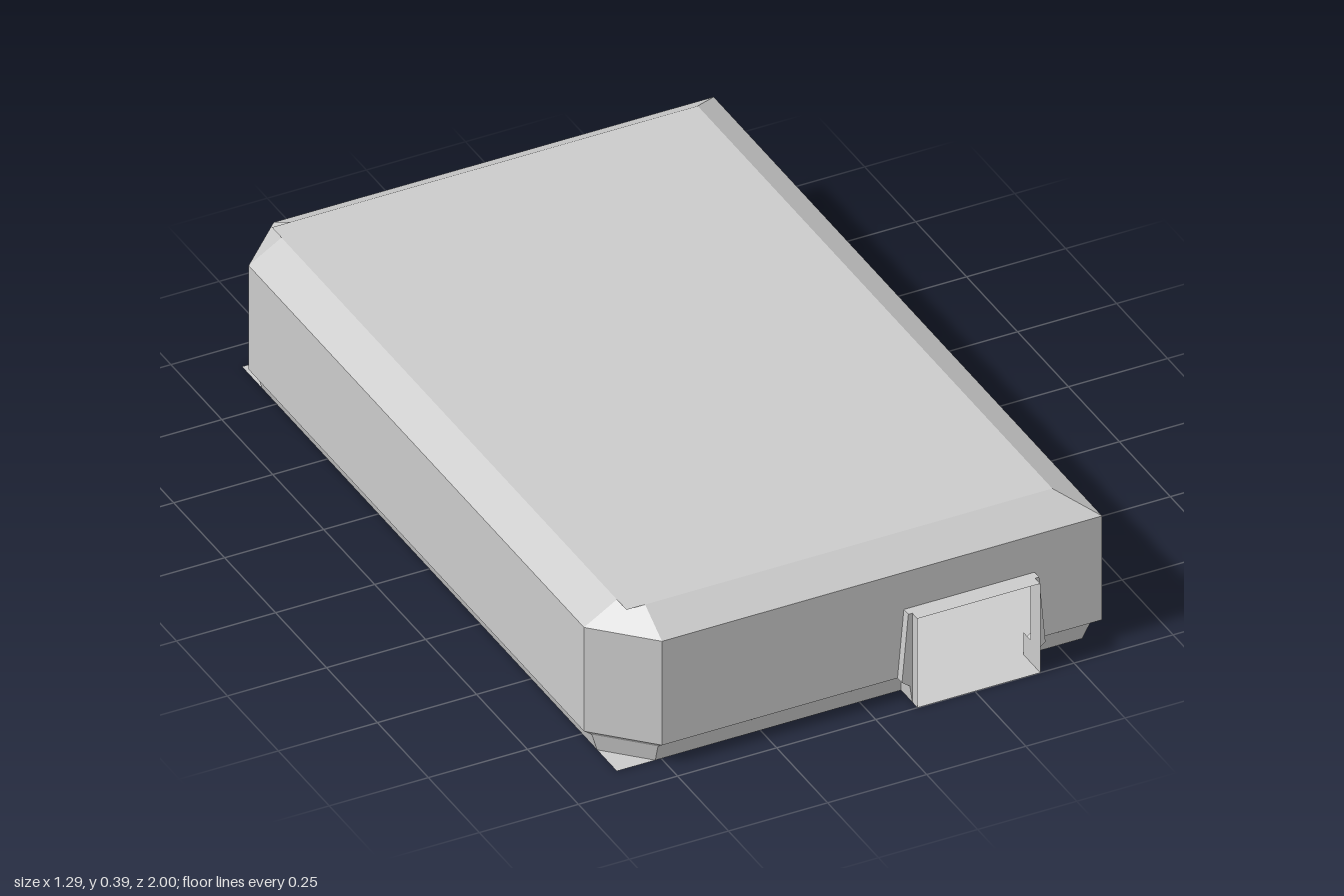
import * as THREE from 'three';

const material = new THREE.MeshStandardMaterial({ color: 0xcccccc, flatShading: true, side: THREE.DoubleSide });

// Mesh from a list of quads, corners counter-clockwise seen from outside
function quadMesh(name, quads) {
  const pos = [];
  for (const [a, b, c, d] of quads) pos.push(...a, ...b, ...c, ...a, ...c, ...d);
  const geo = new THREE.BufferGeometry();
  geo.setAttribute('position', new THREE.Float32BufferAttribute(pos, 3));
  geo.computeVertexNormals();
  const mesh = new THREE.Mesh(geo, material);
  mesh.name = name;
  return mesh;
}

// Footprint inset by i at height y; the two -x corners are cut off
function outline(y, i) {
  const l = -0.645 + i, r = 0.595 - i, z = 0.953 - i, c = 0.13 - i;
  return [[l + c, y, z], [r, y, z], [r, y, -z], [l + c, y, -z], [l, y, -z + c], [l, y, z - c]];
}

const HALF = 0.155, DOOR_TOP = 0.24;
// Doorways by outline edge: axis along the wall, centre on that axis
const doors = {
  0: { axis: 0, centre: 0.26, dir: 1, at: [0.26, 0, 0.953], turn: 0 },
  1: { axis: 2, centre: 0.415, dir: -1, at: [0.595, 0, 0.415], turn: Math.PI / 2 },
  2: { axis: 0, centre: 0.26, dir: -1, at: [0.26, 0, -0.953], turn: Math.PI },
};

// Band between two outlines, leaving the doorways open if asked
function band(name, top, bottom, cut) {
  const quads = [];
  const n = top.length;
  for (let k = 0; k < n; k++) {
    const [a, b, c, d] = [bottom[k], bottom[(k + 1) % n], top[(k + 1) % n], top[k]];
    const door = doors[k];
    if (!cut || !door) { quads.push([a, b, c, d]); continue; }
    const at = (p, s) => {
      const q = [...p];
      q[door.axis] = door.centre + s * door.dir * HALF;
      return q;
    };
    quads.push([a, at(a, -1), at(d, -1), d], [at(a, 1), b, c, at(d, 1)]);
  }
  return quadMesh(name, quads);
}

// Open porch: hood, cheeks, threshold and a tapered jamb on each side
function doorway() {
  const g = new THREE.Group();
  const h = HALF, t = DOOR_TOP, out = 0.047, back = -0.035;
  g.add(quadMesh('hood', [[[-h, t, out], [h, t, out], [h, t, 0], [-h, t, 0]]]));
  g.add(quadMesh('threshold', [[[-h, 0, out], [h, 0, out], [h, 0, back], [-h, 0, back]]]));
  const levels = [[t, 0.01], [0.06, 0.026], [0.045, 0.006], [0, 0]];
  for (const s of [1, -1]) {
    const wind = (q) => (s > 0 ? q : q.reverse());
    g.add(quadMesh('cheek', [
      wind([[s * h, 0, out], [s * h, 0, 0], [s * h, t, 0], [s * h, t, out]]),
      wind([[s * h, 0, 0], [s * h, 0, back], [s * h, 0.06, back], [s * h, 0.06, 0]]),
    ]));
    const d = 0.022, jamb = [];
    for (let i = 0; i < 3; i++) {
      const [y1, w1] = levels[i], [y0, w0] = levels[i + 1];
      const x1 = s * (h + w1), x0 = s * (h + w0);
      const b = y0 < 0.06 ? back : 0;
      jamb.push(wind([[s * h, y0, d], [x0, y0, d], [x1, y1, d], [s * h, y1, d]]));
      jamb.push(wind([[x0, y0, d], [x0, y0, b], [x1, y1, b], [x1, y1, d]]));
    }
    const xt = s * (h + 0.01);
    jamb.push(wind([[s * h, t, d], [xt, t, d], [xt, t, 0], [s * h, t, 0]]));
    g.add(quadMesh('jamb', jamb));
  }
  return g;
}

// Flat horizontal rectangle
function plate(name, x0, x1, z, y) {
  return quadMesh(name, [[[x0, y, z], [x1, y, z], [x1, y, -z], [x0, y, -z]]]);
}

export function createModel() {
  const model = new THREE.Group();
  model.name = 'building';

  // Hollow shell, from roof to plinth
  const eaves = outline(0.34, 0), lintel = outline(DOOR_TOP, 0), sill = outline(0.06, 0);
  const plinthTop = outline(0.045, 0.02), plinthFoot = outline(0, 0.033);
  model.add(
    plate('roof', -0.562, 0.512, 0.87, 0.39),
    band('roofBevel', outline(0.39, 0.083), eaves, false),
    band('upperWall', eaves, lintel, false),
    band('lowerWall', lintel, sill, true),
    band('plinthLedge', sill, plinthTop, true),
    band('plinth', plinthTop, plinthFoot, true),
    plate('floor', -0.612, 0.562, 0.92, 0),
  );

  // Doorways on the front, left side and back
  for (const { at, turn } of Object.values(doors)) {
    const porch = doorway();
    porch.name = 'doorway';
    porch.position.set(...at);
    porch.rotation.y = turn;
    model.add(porch);
  }
  return model;
}
